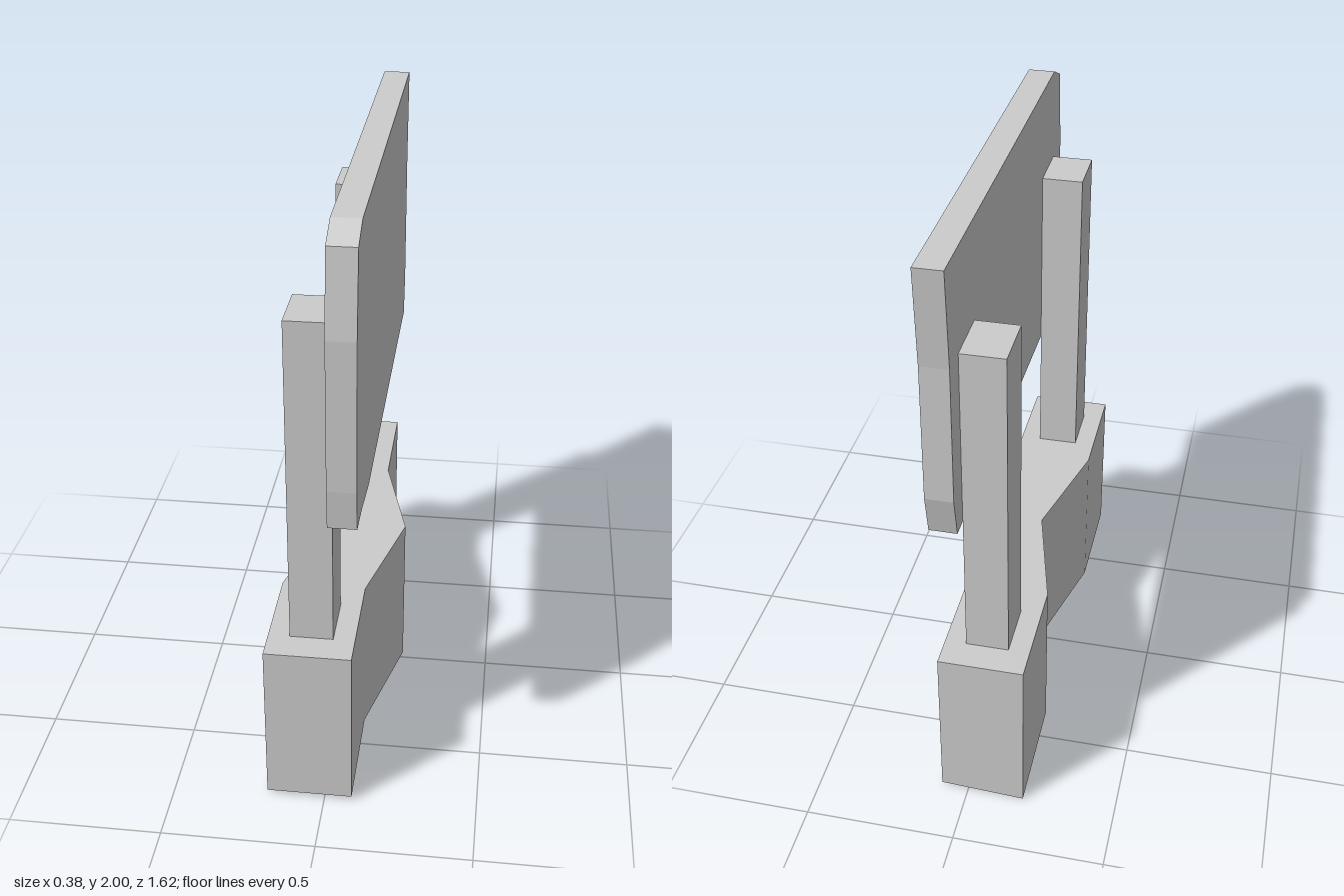
import * as THREE from 'three';

const outline = (points) => new THREE.Shape(points.map(([x, y]) => new THREE.Vector2(x, y)));
const extrude = (points, depth) =>
  new THREE.ExtrudeGeometry(outline(points), { depth, bevelEnabled: false });

export function createModel() {
  const model = new THREE.Group();
  model.name = 'signboard';
  const grey = new THREE.MeshStandardMaterial({ color: 0xcccccc });
  grey.name = 'plain grey';

  const add = (name, geometry) => {
    const mesh = new THREE.Mesh(geometry, grey);
    mesh.name = name;
    model.add(mesh);
    return mesh;
  };

  // Base: a block whose plan bends outwards in the middle, as [x, z]
  const plan = [
    [-0.19, 0.78], [0.09, 0.78], [0.09, 0.39], [0.19, -0.01], [0.09, -0.4],
    [0.09, -0.79], [-0.19, -0.79], [-0.19, -0.4], [-0.09, -0.01], [-0.19, 0.39],
  ];
  const baseBottom = 0.015, baseTop = 0.575;
  const base = extrude(plan.map(([x, z]) => [x, -z]), baseTop - baseBottom);
  base.rotateX(-Math.PI / 2).translate(0, baseBottom, 0);
  // One bottom corner at the back sags to the ground
  const p = base.attributes.position;
  for (let i = 0; i < p.count; i++) {
    if (p.getX(i) < -0.18 && p.getZ(i) < -0.78 && p.getY(i) < 0.1) p.setY(i, 0);
  }
  base.computeVertexNormals();
  add('base', base);

  // Two square posts standing on the base
  const postTop = 1.675;
  for (const [name, z] of [['frontPost', 0.585], ['backPost', -0.595]]) {
    const post = add(name, new THREE.BoxGeometry(0.14, postTop - baseTop, 0.19));
    post.position.set(-0.05, (postTop + baseTop) / 2, z);
  }

  // Board: an uneven worn panel, as [z, y]
  const panel = [
    [0.78, 1.945], [0.68, 1.99], [0.06, 1.993], [-0.81, 2.0], [-0.785, 1.68],
    [-0.785, 1.22], [-0.755, 1.08], [-0.5, 1.073], [0.49, 1.04], [0.68, 1.067],
    [0.8, 1.07], [0.81, 1.2], [0.81, 1.68],
  ];
  const board = extrude(panel.map(([z, y]) => [-z, y]), 0.09);
  board.rotateY(Math.PI / 2).translate(0.02, 0, 0);
  add('board', board);

  return model;
}
